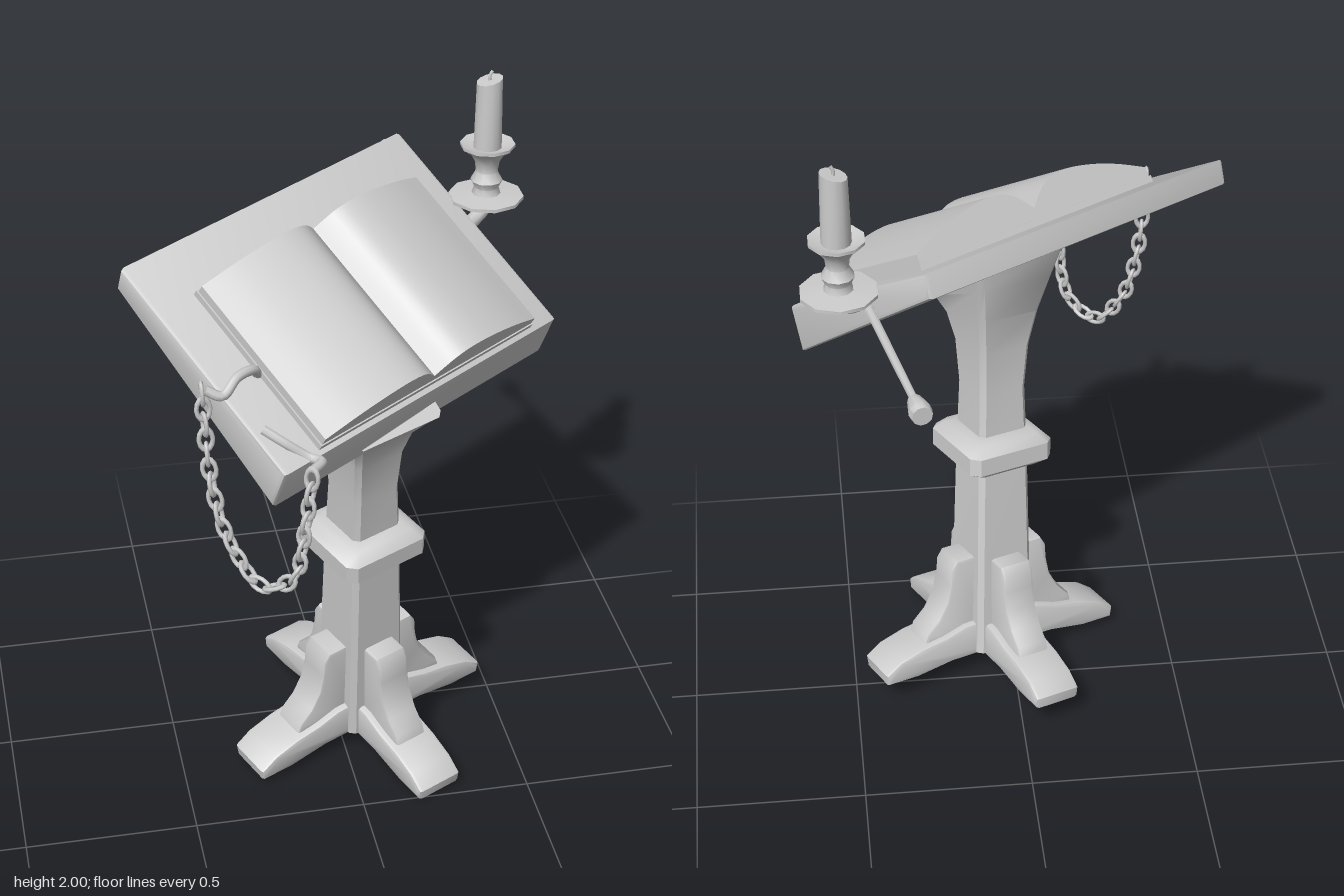
import * as THREE from 'three';
import { toCreasedNormals } from 'three/addons/utils/BufferGeometryUtils.js';

const V = (x, y, z) => new THREE.Vector3(x, y, z);
const grey = new THREE.MeshStandardMaterial({ color: 0xcccccc });
grey.name = 'light grey';

function add(parent, name, geometry, crease = 0.7) {
  const mesh = new THREE.Mesh(crease ? toCreasedNormals(geometry, crease) : geometry, grey);
  mesh.name = name;
  parent.add(mesh);
  return mesh;
}

// Group whose local x, y, z axes are given directions
function frame(name, x, y, z, origin) {
  const g = new THREE.Group();
  g.name = name;
  g.quaternion.setFromRotationMatrix(new THREE.Matrix4().makeBasis(x, y, z));
  g.position.copy(origin);
  return g;
}

// Profile extruded to a total width, centred on z, with rounded rims
function slab(points, width, bevel) {
  const shape = new THREE.Shape(points.map(p => new THREE.Vector2(p[0], p[1])));
  const geo = new THREE.ExtrudeGeometry(shape, {
    depth: width - 2 * bevel, steps: 1, bevelEnabled: bevel > 0,
    bevelSize: bevel, bevelThickness: bevel, bevelOffset: -bevel, bevelSegments: 2,
  });
  return geo.translate(0, 0, -width / 2 + bevel);
}

// Skin over chamfered rectangles: [y, halfX, halfZ, chamfer, slope]
function loft(rings) {
  const pos = [], idx = [], n = 8;
  for (const [y, hx, hz, c, slope = 0] of rings) {
    const ring = [[hx, hz - c], [hx - c, hz], [c - hx, hz], [-hx, hz - c],
      [-hx, c - hz], [c - hx, -hz], [hx - c, -hz], [hx, c - hz]];
    for (const [x, z] of ring) pos.push(x, y - slope * z, z);
  }
  for (let r = 0; r < rings.length - 1; r++) {
    for (let i = 0; i < n; i++) {
      const a = r * n + i, b = r * n + (i + 1) % n;
      idx.push(a, a + n, b, b, a + n, b + n);
    }
  }
  const top = (rings.length - 1) * n;
  for (let i = 1; i < n - 1; i++) {
    idx.push(0, i, i + 1);
    idx.push(top, top + i + 1, top + i);
  }
  // ring order runs from +x to +z, so faces are turned outwards here
  const geo = new THREE.BufferGeometry();
  geo.setAttribute('position', new THREE.Float32BufferAttribute(pos, 3));
  geo.setIndex(idx);
  geo.computeVertexNormals();
  return geo;
}

function tube(points, radius, segments = 20) {
  const curve = new THREE.CatmullRomCurve3(points.map(p => V(...p)));
  return new THREE.TubeGeometry(curve, segments, radius, 8);
}

function makeStand() {
  const up = V(-0.02, 1, 0.13).normalize();
  const right = up.clone().cross(V(0.41, 0, 0.91)).normalize();
  const g = frame('stand', right, up, right.clone().cross(up), V(0.065, 0.052, 0.115));

  add(g, 'column', loft([
    [0.03, 0.098, 0.098, 0.015], [0.7, 0.084, 0.084, 0.015],
    [0.92, 0.077, 0.077, 0.015], [1.06, 0.084, 0.088, 0.015, 0.05],
    [1.16, 0.1, 0.112, 0.015, 0.22], [1.24, 0.122, 0.145, 0.015, 0.43],
    [1.31, 0.145, 0.175, 0.015, 0.57],
  ]));
  add(g, 'collar', loft([
    [0.665, 0.08, 0.08, 0.01], [0.667, 0.108, 0.108, 0.02], [0.692, 0.14, 0.14, 0.025],
    [0.747, 0.14, 0.14, 0.025], [0.775, 0.112, 0.112, 0.02], [0.785, 0.08, 0.08, 0.01],
  ]));

  // four arched feet, each with a curved brace
  const foot = [[0, 0.02], [0.18, 0.018], [0.3, 0], [0.405, 0], [0.41, 0.035],
    [0.36, 0.07], [0.28, 0.095], [0.2, 0.108], [0.13, 0.13], [0, 0.135]];
  const brace = [[0.05, 0.08], [0.27, 0.08], [0.255, 0.125], [0.215, 0.165], [0.185, 0.22],
    [0.172, 0.28], [0.168, 0.33], [0.15, 0.36], [0.05, 0.36]];
  for (let i = 0; i < 4; i++) {
    add(g, 'foot', slab(foot, 0.15, 0.012)).rotation.y = i * Math.PI / 2;
    add(g, 'footBrace', slab(brace, 0.105, 0.01)).rotation.y = i * Math.PI / 2;
  }
  return g;
}

function makeDesk() {
  // x along the width, y out of the reading surface, z down the slope
  const x = V(0.826, 0.045, -0.561).normalize();
  const y = V(0.472, -0.542, 0.694).cross(x).normalize();
  const g = frame('desk', x, y, x.clone().cross(y), V(0.01, 1.534, 0.155));

  const board = slab([[-0.345, -0.07], [0.383, -0.135], [0.362, 0], [-0.362, 0]], 1.09, 0.014);
  add(g, 'board', board.rotateY(-Math.PI / 2));
  add(g, 'bookCover', new THREE.BoxGeometry(0.85, 0.02, 0.55).translate(0.02, 0.009, 0.072));

  // open book: two humped pages meeting in a valley
  const left = [[-0.4, 0.045], [-0.3, 0.085], [-0.2, 0.112], [-0.11, 0.122], [-0.04, 0.105], [0.02, 0.05]];
  const right = [[0.02, 0.05], [0.08, 0.105], [0.15, 0.122], [0.24, 0.112], [0.34, 0.085], [0.44, 0.045]];
  for (const [name, pts] of [['leftPages', left], ['rightPages', right]]) {
    const curve = new THREE.SplineCurve(pts.map(p => new THREE.Vector2(p[0], p[1])));
    const line = curve.getPoints(18).map(p => [p.x, p.y]);
    const profile = [...line, [pts[5][0], 0.01], [pts[0][0], 0.01]];
    add(g, name, slab(profile, 0.54, 0).translate(0, 0, 0.073));
  }
  return g;
}

function makeCandle() {
  const g = new THREE.Group();
  g.name = 'candleHolder';
  const cx = 0.504, cz = -0.229;
  const profile = [[0, 1.6], [0.11, 1.604], [0.11, 1.614], [0.042, 1.62], [0.036, 1.64],
    [0.047, 1.662], [0.032, 1.69], [0.036, 1.72], [0.055, 1.75], [0.08, 1.768],
    [0.08, 1.777], [0.045, 1.766], [0, 1.766]];
  const dish = new THREE.LatheGeometry(profile.map(p => new THREE.Vector2(p[0], p[1])), 10);
  add(g, 'dishAndCup', dish.translate(cx, 0, cz), 0.8);

  // candle with a slightly slanted top
  const candle = new THREE.CylinderGeometry(0.038, 0.042, 0.22, 12, 1);
  const p = candle.attributes.position;
  for (let i = 0; i < p.count; i++) {
    if (p.getY(i) > 0) p.setY(i, 0.1 + p.getX(i) * 0.25);
  }
  add(g, 'candle', candle.translate(cx, 1.872, cz));
  add(g, 'wick', tube([[cx, 1.96, cz], [cx, 1.985, cz], [cx + 0.008, 2, cz]], 0.005, 5));

  // bracket and the long pin with a flared knob
  add(g, 'bracket', tube([[cx, 1.61, cz], [0.497, 1.57, -0.227], [0.47, 1.55, -0.21],
    [0.43, 1.54, -0.17]], 0.022), 0);
  const start = V(0.43, 1.55, -0.2), end = V(0.316, 1.546, -0.745);
  const dir = end.clone().sub(start);
  const pin = new THREE.Group();
  pin.name = 'pin';
  pin.position.copy(start);
  pin.quaternion.setFromUnitVectors(V(0, 1, 0), dir.clone().normalize());
  const len = dir.length();
  const pinProfile = [[0, 0], [0.013, 0], [0.011, len - 0.08], [0.02, len - 0.075],
    [0.032, len - 0.02], [0.028, len], [0, len]];
  add(pin, 'pinWithKnob', new THREE.LatheGeometry(pinProfile.map(q => new THREE.Vector2(q[0], q[1])), 10));
  g.add(pin);
  return g;
}

function makeChain() {
  const g = new THREE.Group();
  g.name = 'chain';
  add(g, 'backHook', tube([[-0.285, 1.47, 0.435], [-0.3, 1.5, 0.46], [-0.35, 1.505, 0.5],
    [-0.395, 1.47, 0.53], [-0.44, 1.49, 0.525]], 0.014), 0);
  add(g, 'frontHook', tube([[-0.3, 1.395, 0.595], [-0.25, 1.365, 0.62], [-0.18, 1.32, 0.64],
    [-0.155, 1.322, 0.665], [-0.195, 1.325, 0.72]], 0.014), 0);
  const path = new THREE.CatmullRomCurve3([
    V(-0.45, 1.5, 0.52), V(-0.43, 1.2, 0.53), V(-0.39, 1.03, 0.56), V(-0.315, 0.92, 0.625),
    V(-0.24, 0.97, 0.685), V(-0.21, 1.15, 0.717), V(-0.19, 1.33, 0.725)]);
  // alternate links turned a quarter round the path
  const link = new THREE.TorusGeometry(0.019, 0.0065, 6, 12).scale(1, 1.6, 1);
  const count = 24;
  for (let i = 0; i < count; i++) {
    const t = (i + 0.5) / count;
    const mesh = add(g, 'link', link, 0);
    mesh.position.copy(path.getPointAt(t));
    mesh.quaternion.setFromUnitVectors(V(0, 1, 0), path.getTangentAt(t).setY(path.getTangentAt(t).y || 1e-4));
    mesh.rotateY(Math.PI / 4 + (i % 2) * Math.PI / 2);
  }
  return g;
}

export function createModel() {
  const model = new THREE.Group();
  model.name = 'lectern';
  model.add(makeStand(), makeDesk(), makeCandle(), makeChain());
  return model;
}
